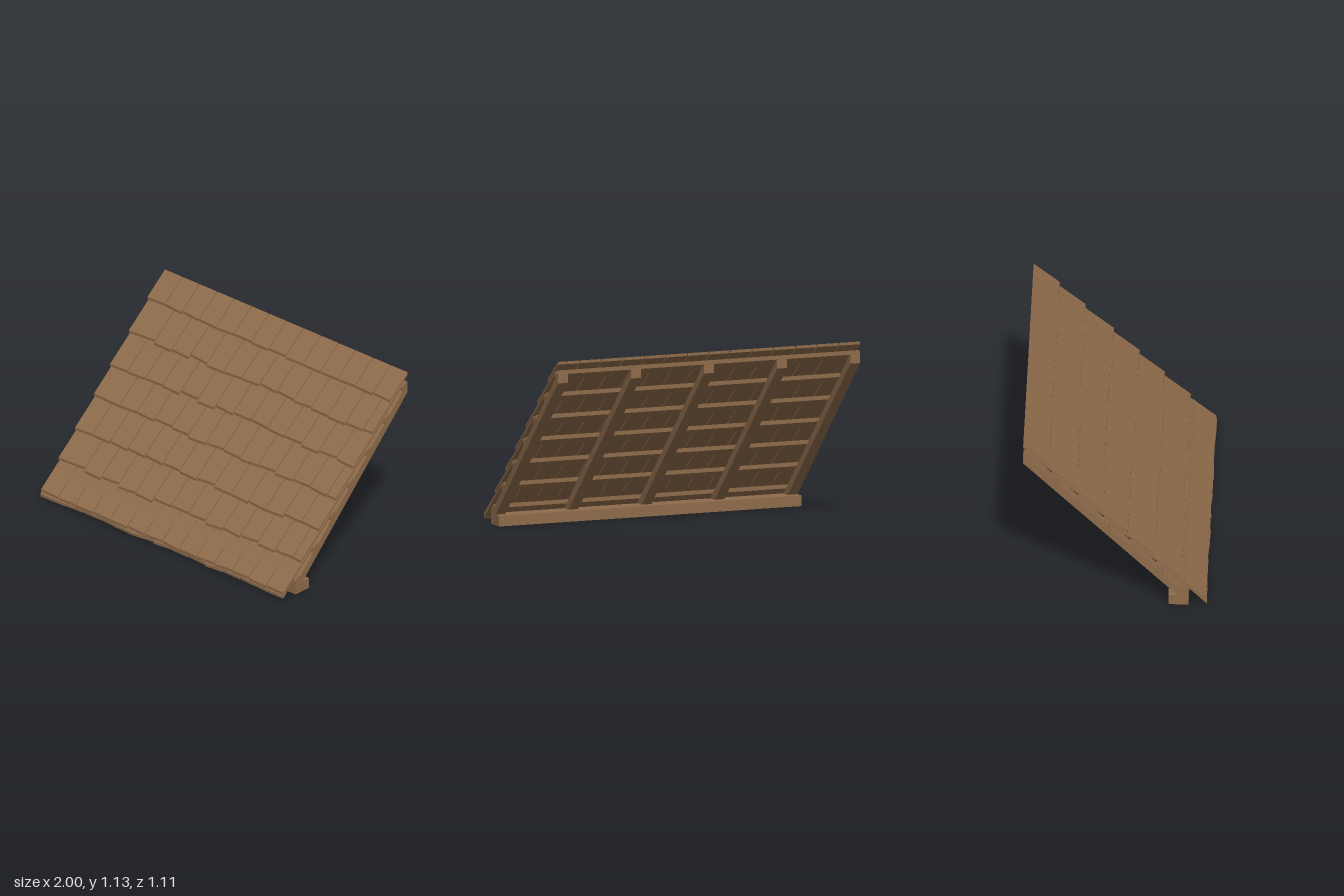
import * as THREE from 'three';
import { mergeGeometries } from 'three/addons/utils/BufferGeometryUtils.js';

const wood = new THREE.MeshStandardMaterial({ color: 0x8f6b4b });
wood.name = 'brown wood';

// Small seeded random source, 0..1
function makeRandom(seed) {
  return () => {
    seed = (seed * 16807) % 2147483647;
    return seed / 2147483647;
  };
}

// Extrudes a side profile of [z, y] points along x, centred on x
function beam(name, profile, width, x = 0) {
  const shape = new THREE.Shape(profile.map(([z, y]) => new THREE.Vector2(-z, y)));
  const geo = new THREE.ExtrudeGeometry(shape, { depth: width, bevelEnabled: false });
  geo.translate(0, 0, -width / 2);
  geo.rotateY(Math.PI / 2); // shape x becomes -z, depth becomes x
  const mesh = new THREE.Mesh(geo, wood);
  mesh.name = name;
  mesh.position.x = x;
  return mesh;
}

// One tile: a sheared slab whose butt runs from zLeft to zRight; topY gives the upper surface
function shingle(x0, x1, zLeft, zRight, zBack, topY, thick) {
  const geo = new THREE.BoxGeometry(1, 1, 1);
  const p = geo.attributes.position;
  for (let i = 0; i < p.count; i++) {
    const right = p.getX(i) > 0;
    const z = p.getZ(i) > 0 ? (right ? zRight : zLeft) : zBack;
    const y = topY(z) - (p.getY(i) > 0 ? 0 : thick);
    p.setXYZ(i, right ? x1 : x0, y, z);
  }
  geo.computeVertexNormals();
  return geo;
}

// One row of tiles; staggered rows have their joints moved by half a tile
function course(name, staggered, zFront, zBack, jitter, topY, random) {
  const step = 2 / 14;
  const joints = [-1];
  for (let k = 1; k < 14; k++) joints.push(-1 + step * (k + (staggered ? 0.5 : 0)));
  joints.push(1);
  const tiles = [];
  for (let k = 0; k < joints.length - 1; k++) {
    const x0 = joints[k] + (k > 0 ? 0.003 : 0);
    const x1 = joints[k + 1] - (k < joints.length - 2 ? 0.003 : 0);
    const z = zFront - random() * jitter;
    const slant = (random() - 0.5) * 0.008;
    tiles.push(shingle(x0, x1, Math.min(z + slant, zFront), Math.min(z - slant, zFront), zBack, topY, 0.0175));
  }
  const mesh = new THREE.Mesh(mergeGeometries(tiles), wood);
  mesh.name = name;
  return mesh;
}

export function createModel() {
  const model = new THREE.Group();
  model.name = 'roofSection';
  const random = makeRandom(4711);

  // Wall plate under the rafters
  model.add(beam('wallPlate', [[0.445, 0], [0.323, 0], [0.323, 0.065], [0.445, 0.065]], 2));

  // Five rafters at 45 degrees with plumb-cut tops
  const rafters = new THREE.Group();
  rafters.name = 'rafters';
  const rafterProfile = [[0.445, 0.065], [0.38, 0.065], [-0.556, 1.001], [-0.556, 1.066]];
  for (let i = 0; i < 5; i++) {
    rafters.add(beam('rafter', rafterProfile, 0.065, -0.9675 + i * 0.48375));
  }
  model.add(rafters);

  // Seven battens lying across the rafters
  const battens = new THREE.Group();
  battens.name = 'battens';
  for (let i = 0; i < 7; i++) {
    const z = 0.445 - i * 0.159;
    const back = z - 0.035;
    battens.add(beam('batten', [[z, 0.51 - z], [back, 0.51 - back], [back, 0.535 - back], [z, 0.535 - z]], 2));
  }
  model.add(battens);

  // Steeper starter course beneath the eaves
  const shingles = new THREE.Group();
  shingles.name = 'shingles';
  shingles.add(course('starterCourse', true, 0.556, 0.409, 0.008, (z) => 0.583 - z, random));

  // Seven overlapping courses, the top one cut off at the ridge
  for (let i = 0; i < 7; i++) {
    const zEnd = 0.283 - i * 0.1587;
    const zFront = Math.min(0.409 - (i - 1) * 0.1587, 0.556) - (i === 6 ? 0.01 : 0);
    const topY = (z) => 0.557 - zEnd + 0.82 * (zEnd - z);
    const jitter = i === 0 || i === 6 ? 0.008 : 0.02;
    shingles.add(course('shingleCourse', i % 2 === 1, zFront, Math.max(zEnd, -0.556), jitter, topY, random));
  }
  model.add(shingles);

  return model;
}
